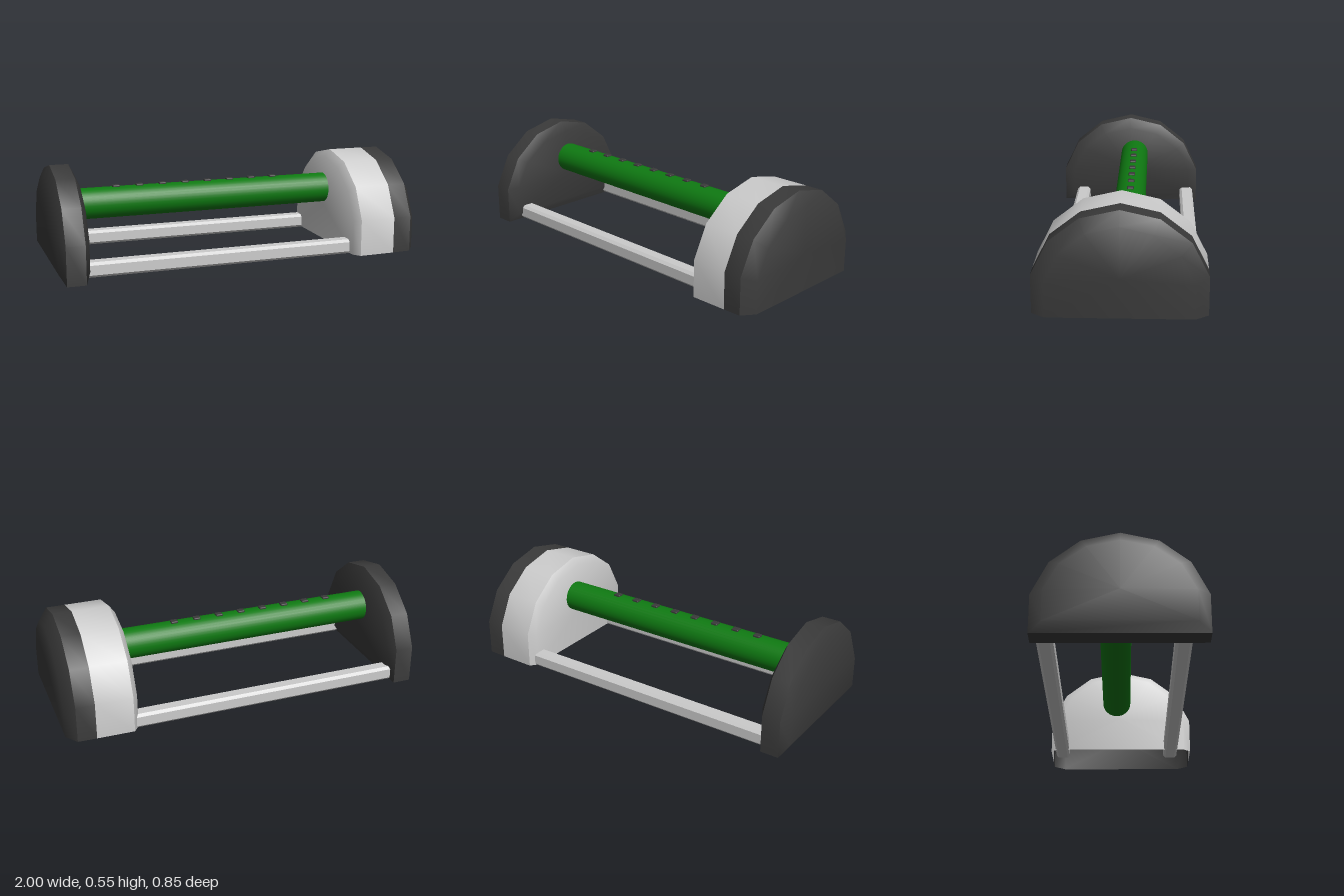
import * as THREE from 'three';
import { toCreasedNormals } from 'three/addons/utils/BufferGeometryUtils.js';
import { RoundedBoxGeometry } from 'three/addons/geometries/RoundedBoxGeometry.js';

const grey = new THREE.MeshStandardMaterial({ color: 0xcccccc });
const shellGrey = new THREE.MeshStandardMaterial({ color: 0xcccccc, side: THREE.DoubleSide });
const dark = new THREE.MeshStandardMaterial({ color: 0x3a3a3a });
const shellDark = new THREE.MeshStandardMaterial({ color: 0x3a3a3a, side: THREE.DoubleSide });
const green = new THREE.MeshStandardMaterial({ color: 0x0f7a12 });

// Faceted dome outline as [z, y] from front foot, over the apex, to back foot
const half = [[0.425, 0], [0.425, 0.205], [0.34, 0.38], [0.19, 0.5]];
const dome = [...half, [0, 0.545], ...half.map(([z, y]) => [-z, y]).reverse()];

// One cross-section: the dome pulled in by `inset`, standing on y = bottom
function ring(x, inset, bottom) {
  const sz = (0.425 - inset) / 0.425;
  const sy = (0.545 - inset - bottom) / 0.545;
  return dome.map(([z, y]) => new THREE.Vector3(x, bottom + y * sy, z * sz));
}

// Skin between cross-sections listed along +x, with optional end faces and floor
function loft(rings, { start = false, end = false, floor = false }) {
  const pos = [];
  const tri = (...pts) => pts.forEach((p) => pos.push(p.x, p.y, p.z));
  const n = dome.length;
  const last = floor ? n : n - 1;
  for (let i = 0; i < rings.length - 1; i++) {
    const a = rings[i], b = rings[i + 1];
    for (let j = 0; j < last; j++) {
      const k = (j + 1) % n;
      tri(a[j], b[j], a[k]);
      tri(a[k], b[j], b[k]);
    }
  }
  const fan = (r, flip) => {
    const c = new THREE.Vector3(r[0].x, 0.22, 0);
    for (let j = 0; j < n; j++) {
      const k = (j + 1) % n;
      if (flip) tri(c, r[k], r[j]);
      else tri(c, r[j], r[k]);
    }
  };
  if (start) fan(rings[0], false);
  if (end) fan(rings[rings.length - 1], true);
  const geo = new THREE.BufferGeometry();
  geo.setAttribute('position', new THREE.Float32BufferAttribute(pos, 3));
  return toCreasedNormals(geo, 0.9);
}

export function createModel() {
  const model = new THREE.Group();
  const add = (name, geo, mat, x = 0, y = 0, z = 0) => {
    const mesh = new THREE.Mesh(geo, mat);
    mesh.name = name;
    mesh.position.set(x, y, z);
    model.add(mesh);
    return mesh;
  };

  // Solid end foot, bevelled on both faces
  add('endFoot', loft([
    ring(-1, 0.06, 0.05), ring(-0.97, 0, 0), ring(-0.87, 0, 0), ring(-0.84, 0.06, 0.05),
  ], { start: true, end: true, floor: true }), dark);

  // Hollow housing, open underneath
  add('housing', loft([
    ring(0.62, 0.04, 0.015), ring(0.65, 0, 0.015), ring(0.85, 0, 0.017),
  ], { start: true }), shellGrey);
  add('housingCover', loft([
    ring(0.85, 0, 0.017), ring(0.95, 0, 0.019), ring(1, 0.065, 0.02),
  ], { end: true }), shellDark);

  // Handle tube running between the ends
  const tube = new THREE.CylinderGeometry(0.084, 0.084, 1.58, 32).rotateZ(Math.PI / 2);
  add('handle', tube, green, -0.07, 0.32, -0.025);

  // Row of small buttons along the top of the handle
  const button = new RoundedBoxGeometry(0.04, 0.03, 0.036, 2, 0.006);
  for (let i = 0; i < 8; i++) add('button', button, dark, -0.61 + i * 0.13, 0.397, -0.027);

  // Chamfered base rails, ending inside the housing
  const w = 0.041, h = 0.04, c = 0.014;
  const section = new THREE.Shape([
    [w, -h + c], [w, h - c], [w - c, h], [-w + c, h],
    [-w, h - c], [-w, -h + c], [-w + c, -h], [w - c, -h],
  ].map(([x, y]) => new THREE.Vector2(x, y)));
  const rail = new THREE.ExtrudeGeometry(section, { depth: 1.61, bevelEnabled: false }).rotateY(Math.PI / 2);
  add('frontRail', rail, grey, -0.86, 0.05, 0.304);
  add('backRail', rail, grey, -0.86, 0.05, -0.358);

  return model;
}
